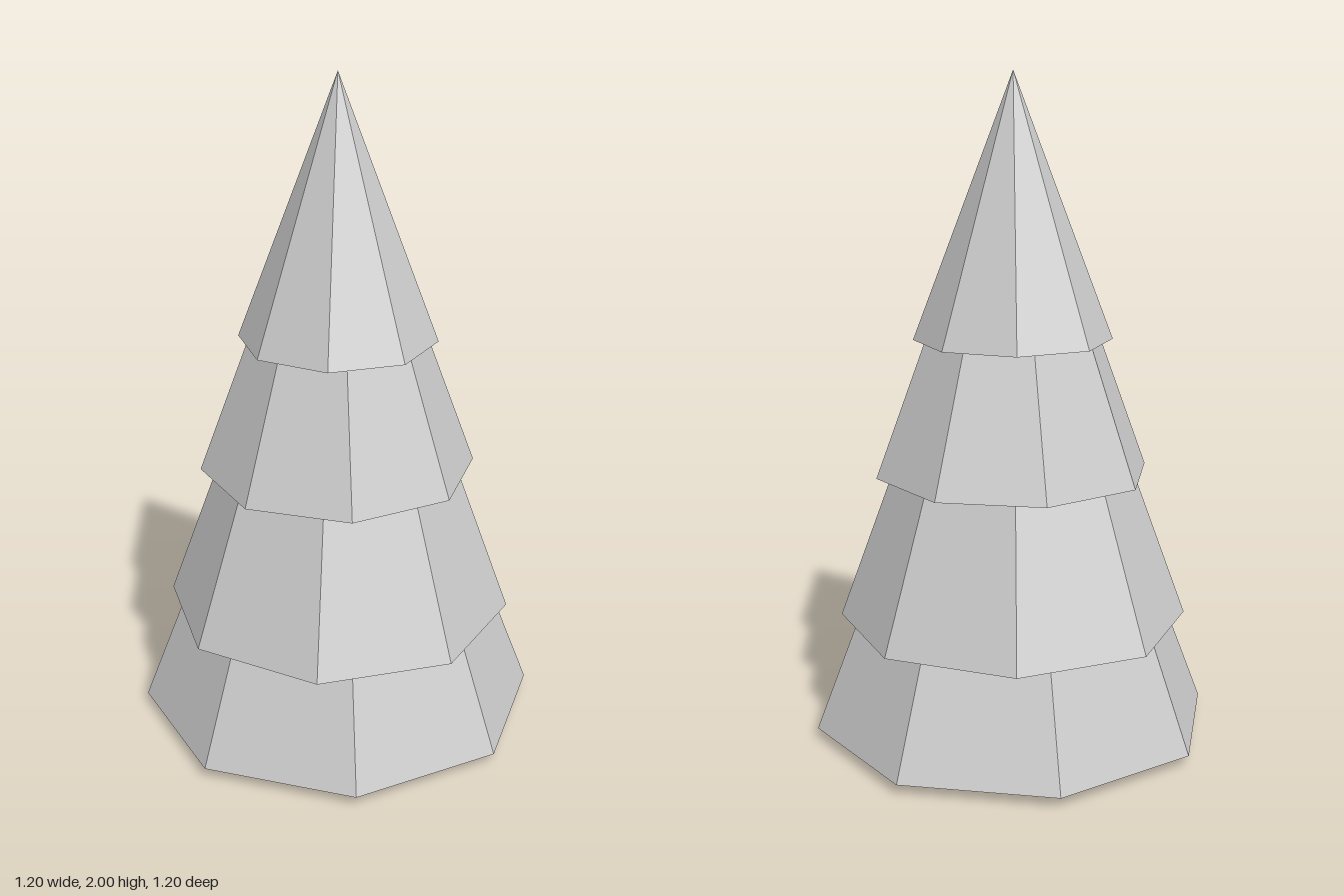
import * as THREE from 'three';

export function createModel() {
  const group = new THREE.Group();
  const material = new THREE.MeshStandardMaterial({ color: 0xcccccc, flatShading: true });
  const leafMaterial = new THREE.MeshStandardMaterial({
    color: 0xcccccc, flatShading: true, side: THREE.DoubleSide,
  });

  // Six-sided trunk, mostly hidden inside the foliage
  const trunkHeight = 0.9;
  const trunk = new THREE.Mesh(new THREE.CylinderGeometry(0.13, 0.13, trunkHeight, 6), material);
  trunk.name = 'trunk';
  trunk.position.y = trunkHeight / 2;
  group.add(trunk);

  // Open, hollow eight-sided cones, nested and each turned a little
  const tiers = [
    { name: 'bottomBranches', radius: 0.612, base: 0.03, apex: 1.62, turn: 10.4 },
    { name: 'lowerBranches', radius: 0.53, base: 0.355, apex: 1.81, turn: -1 },
    { name: 'upperBranches', radius: 0.418, base: 0.81, apex: 1.94, turn: 11 },
    { name: 'treeTop', radius: 0.298, base: 1.215, apex: 2, turn: 0 },
  ];
  for (const { name, radius, base, apex, turn } of tiers) {
    const tier = new THREE.Mesh(
      new THREE.ConeGeometry(radius, apex - base, 8, 1, true), leafMaterial);
    tier.name = name;
    tier.position.y = (base + apex) / 2;
    tier.rotation.y = THREE.MathUtils.degToRad(turn);
    group.add(tier);
  }
  return group;
}
